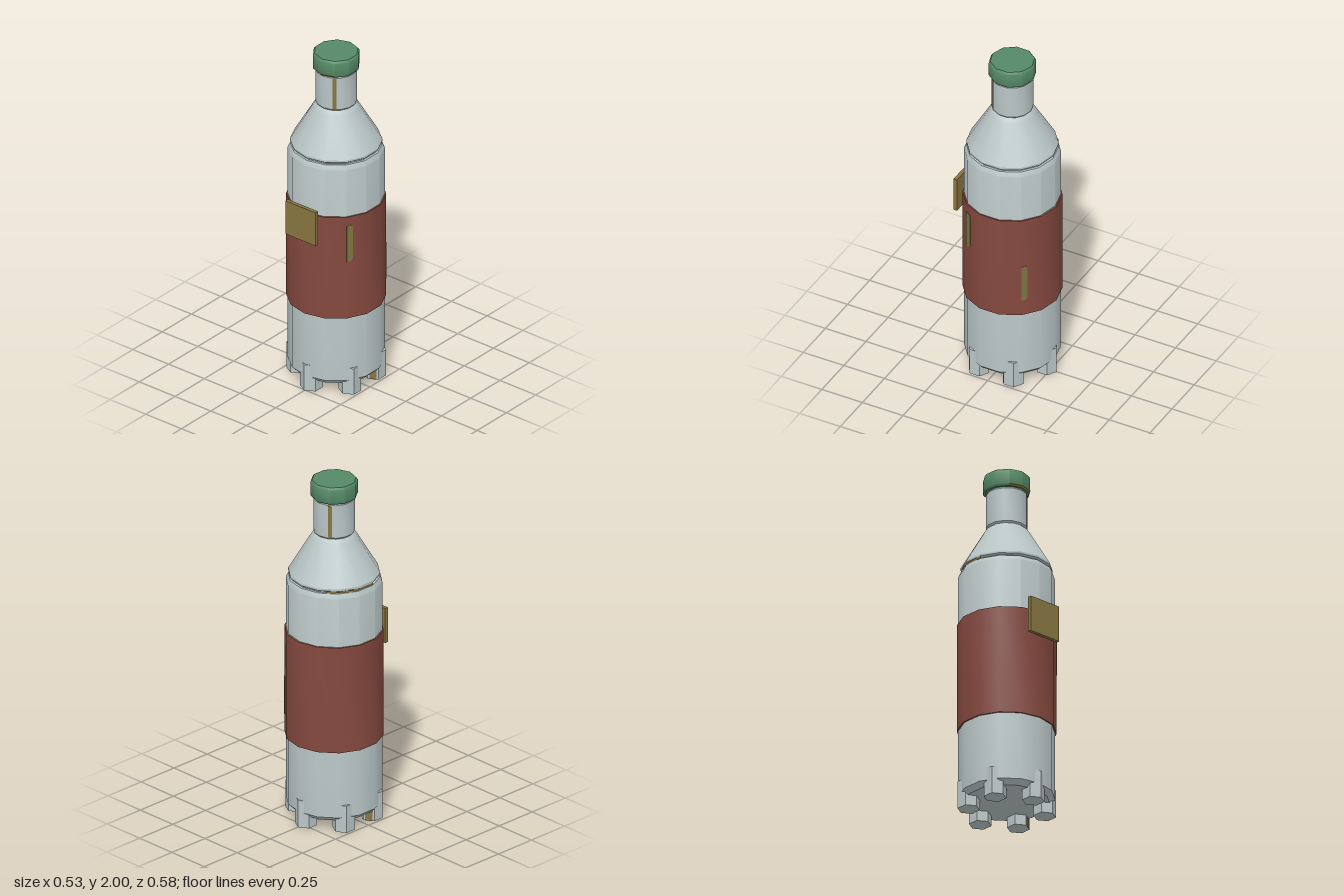
import * as THREE from 'three';
import { toCreasedNormals } from 'three/addons/utils/BufferGeometryUtils.js';

const SIDES = 14;
const STEP = (Math.PI * 2) / SIDES;
const AXIS_Z = -0.0165;

function material(name, color, side = THREE.FrontSide) {
  const m = new THREE.MeshStandardMaterial({ color, side });
  m.name = name;
  return m;
}

export function createModel() {
  const steel = material('paleSteel', 0xbac6c7);
  const red = material('brickRed', 0x85493f);
  const green = material('capGreen', 0x558a67);
  const brass = material('brass', 0x887641, THREE.DoubleSide);
  const olive = material('olive', 0x7d7640, THREE.DoubleSide);

  const model = new THREE.Group();
  const bottle = new THREE.Group();
  bottle.name = 'bottle';
  bottle.position.z = AXIS_Z;
  model.add(bottle);

  function add(name, geometry, mat, parent = bottle) {
    const mesh = new THREE.Mesh(geometry, mat);
    mesh.name = name;
    parent.add(mesh);
    return mesh;
  }
  // Turned part from [radius, height] pairs, optionally only an arc
  function turned(name, profile, mat, sides = SIDES, start = 0, segments = sides) {
    const pts = profile.map(([r, y]) => new THREE.Vector2(r, y));
    const unit = (Math.PI * 2) / sides;
    const geo = new THREE.LatheGeometry(pts, segments, start * unit, segments * unit);
    return add(name, toCreasedNormals(geo, unit + 0.03), mat);
  }

  // Main body with bevelled ends
  turned('body', [[0, 0.06], [0.235, 0.06], [0.263, 0.088], [0.263, 1.398], [0.25, 1.425], [0, 1.425]], steel);
  // Shoulder cone sitting above a narrow groove
  turned('shoulder', [[0.236, 1.42], [0.238, 1.432], [0.25, 1.44], [0.25, 1.452], [0.128, 1.66],
    [0.118, 1.675], [0.1, 1.69], [0, 1.69]], steel);
  // Neck
  turned('neck', [[0, 1.685], [0.105, 1.685], [0.113, 1.695], [0.113, 1.89], [0.105, 1.9], [0, 1.9]], steel);
  // Cap
  turned('cap', [[0, 1.9], [0.122, 1.9], [0.13, 1.91], [0.13, 1.988], [0.121, 2], [0, 2]], green, 10);
  // Label sleeve
  turned('labelSleeve', [[0.262, 0.48], [0.271, 0.48], [0.271, 1.11], [0.262, 1.11]], red);

  // Worn brass edges on the cap, the groove and the sleeve rim
  turned('capEdgeTrim', [[0.1225, 1.9], [0.1308, 1.91], [0.1308, 1.915]], brass, 10, -1, 2);
  turned('grooveTrim', [[0.251, 1.427], [0.2515, 1.44]], brass, SIDES, 8.4, 2.6);
  for (const start of [6, 8]) {
    turned('sleeveRimTrim', [[0.271, 1.111], [0.262, 1.111]], brass, SIDES, start, 1);
  }

  // Hexagonal feet around the base
  const footGeo = new THREE.CylinderGeometry(0.062, 0.062, 0.16, 6).toNonIndexed();
  footGeo.computeVertexNormals();
  for (let i = 0; i < 6; i++) {
    const a = (i * Math.PI) / 3;
    const foot = add('foot', footGeo, steel);
    foot.position.set(0.211 * Math.sin(a), 0.08, 0.211 * Math.cos(a));
  }

  // Brass plates on one face of two opposite feet
  for (const s of [1, -1]) {
    const chip = add('footChip', new THREE.BoxGeometry(0.04, 0.055, 0.003), brass);
    const a = Math.PI / 6;
    chip.position.set(s * (0.1827 + 0.0545 * Math.sin(a)), 0.028, s * (-0.1055 + 0.0545 * Math.cos(a)));
    chip.rotation.y = a;
  }

  // Narrow strips on opposite sides of the neck
  for (const turn of [0, Math.PI]) {
    const side = new THREE.Group();
    side.name = 'neckStripMount';
    side.rotation.y = STEP * 1.5 + turn;
    bottle.add(side);
    const strip = add('neckStrip', new THREE.BoxGeometry(0.02, 0.185, 0.004), brass, side);
    strip.position.set(-0.008, 1.793, 0.111);
  }

  // Thin clipped-corner patches lying on facets of the sleeve
  function patch(facet, offset, y) {
    const w = 0.0185, h = 0.112, c = 0.02;
    const shape = new THREE.Shape([[-w, -h], [w * 0.4, -h], [w, -h + c], [w, h - c], [w * 0.4, h], [-w, h]]
      .map(([x, v]) => new THREE.Vector2(x, v)));
    const mount = new THREE.Group();
    mount.name = 'patchMount';
    mount.rotation.y = STEP * (facet + 0.5);
    bottle.add(mount);
    const geo = new THREE.ExtrudeGeometry(shape, { depth: 0.003, bevelEnabled: false });
    const mesh = add('sleevePatch', geo, olive, mount);
    mesh.position.set(offset, y, 0.271 * Math.cos(STEP / 2) - 0.001);
  }
  patch(2, -0.0415, 0.945);
  patch(5, -0.041, 0.69);

  // Square plate floating in front of the label
  const plate = add('frontPlate', new THREE.BoxGeometry(0.21, 0.207, 0.021), brass, model);
  plate.position.set(0, 1.057, 0.2785);

  return model;
}
